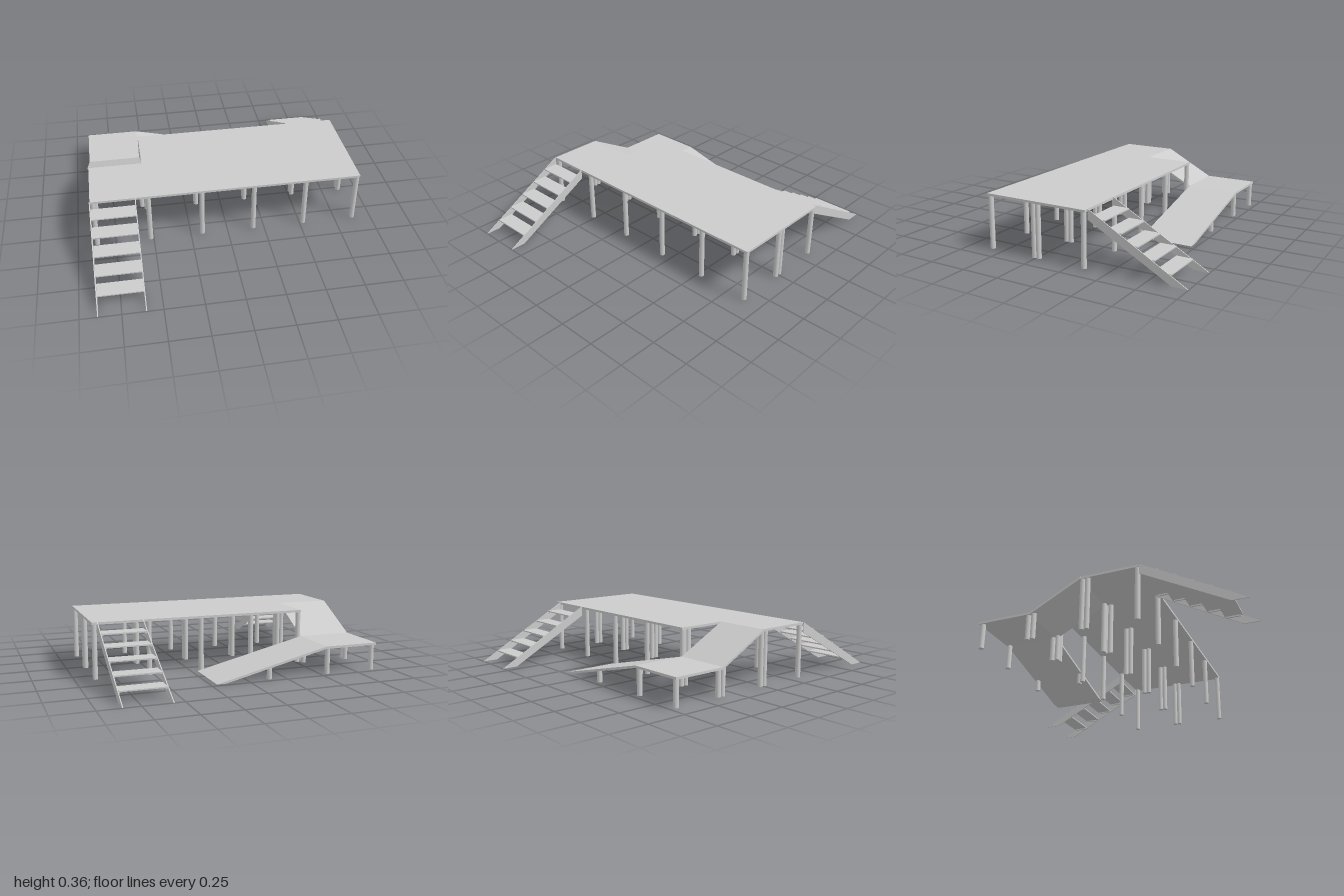
import * as THREE from 'three';

const material = new THREE.MeshStandardMaterial({ color: 0xcccccc });
const TOP = 0.36, MID = 0.18, THICK = 0.015, POST_R = 0.0165;

function add(parent, name, geometry, x = 0, y = 0, z = 0) {
  const mesh = new THREE.Mesh(geometry, material);
  mesh.name = name;
  mesh.position.set(x, y, z);
  parent.add(mesh);
  return mesh;
}

// Horizontal board whose upper face lies at y = top
function board(parent, name, x0, x1, z0, z1, top, thick = THICK) {
  add(parent, name, new THREE.BoxGeometry(x1 - x0, thick, z1 - z0),
    (x0 + x1) / 2, top - thick / 2, (z0 + z1) / 2);
}

// Round post from the ground up to the given height
function post(parent, x, z, height) {
  add(parent, 'post', new THREE.CylinderGeometry(POST_R, POST_R, height, 16), x, height / 2, z);
}

// Side profile in (run, y), extruded by its width
function profile(points, width) {
  const shape = new THREE.Shape(points.map(([a, b]) => new THREE.Vector2(a, b)));
  return new THREE.ExtrudeGeometry(shape, { depth: width, bevelEnabled: false });
}

// Flight of open stairs running from z = 0 at the deck down to z = 0.64
function createStairs() {
  const stairs = new THREE.Group();
  const width = 0.295, run = 0.64, side = 0.006, count = 5, step = run / 6, rise = TOP / 6;

  // Thin sloping side boards
  const stringer = profile([[0, 0.295], [run - 0.1, 0], [run, 0], [0, TOP]], side)
    .rotateY(-Math.PI / 2);
  add(stairs, 'stringer', stringer, width / 2);
  add(stairs, 'stringer', stringer, -width / 2 + side);

  // Treads with small support brackets at both ends
  for (let i = 1; i <= count; i++) {
    const y = TOP - i * rise + 0.007, z1 = i * step + 0.004;
    board(stairs, 'tread', -width / 2 + side, width / 2 - side, z1 - step, z1, y, 0.008);
    for (const s of [-1, 1]) {
      add(stairs, 'treadBracket', new THREE.BoxGeometry(0.01, 0.008, step * 0.8),
        s * (width / 2 - side - 0.005), y - 0.012, z1 - step / 2);
    }
  }
  return stairs;
}

export function createModel() {
  const model = new THREE.Group();
  model.name = 'raisedPlatform';

  // Main deck: full front strip, shorter back strip leaving room for the ramp
  const deck = new THREE.Group();
  deck.name = 'deck';
  model.add(deck);
  board(deck, 'deckFront', -0.89, 0.89, 0, 0.357, TOP);
  board(deck, 'deckBack', -0.534, 0.89, -0.357, 0, TOP);
  board(deck, 'deckRampEdge', -0.89, -0.534, -0.022, 0, TOP);

  // Deck posts, paired where the two strips meet
  for (let i = 0; i < 6; i++) {
    const x = i === 0 ? -0.873 : -0.52 + (i - 1) * 0.34825;
    const rows = i === 0 ? [0.34, 0.0165] : [0.34, 0.0165, -0.0165, -0.34];
    for (const z of rows) post(deck, x, z, TOP - THICK);
  }

  // Ramp with a landing that turns the corner
  const ramp = new THREE.Group();
  ramp.name = 'ramp';
  model.add(ramp);
  const upper = profile([
    [-0.36, MID - THICK], [-0.022, TOP - THICK], [-0.022, TOP], [-0.36, MID],
  ], 0.361).rotateY(-Math.PI / 2);
  add(ramp, 'upperRamp', upper, -0.534);
  board(ramp, 'landing', -0.895, -0.534, -0.72, -0.36, MID);
  const lower = profile([[-0.534, MID - THICK], [0.148, 0], [0.21, 0], [-0.534, MID]], 0.36);
  add(ramp, 'lowerRamp', lower, 0, 0, -0.72);

  // Ramp and landing posts
  for (const x of [-0.873, -0.55]) {
    post(ramp, x, -0.0165, TOP - THICK);
    for (const z of [-0.342, -0.377, -0.702]) post(ramp, x, z, MID - THICK / 2);
  }
  for (const z of [-0.377, -0.702]) post(ramp, -0.145, z, 0.075);

  // Front and back stairs
  const front = createStairs();
  front.name = 'frontStairs';
  front.position.set(-0.747, 0, 0.357);
  model.add(front);
  const back = createStairs();
  back.name = 'backStairs';
  back.rotation.y = Math.PI;
  back.position.set(0.71, 0, -0.357);
  model.add(back);

  return model;
}
